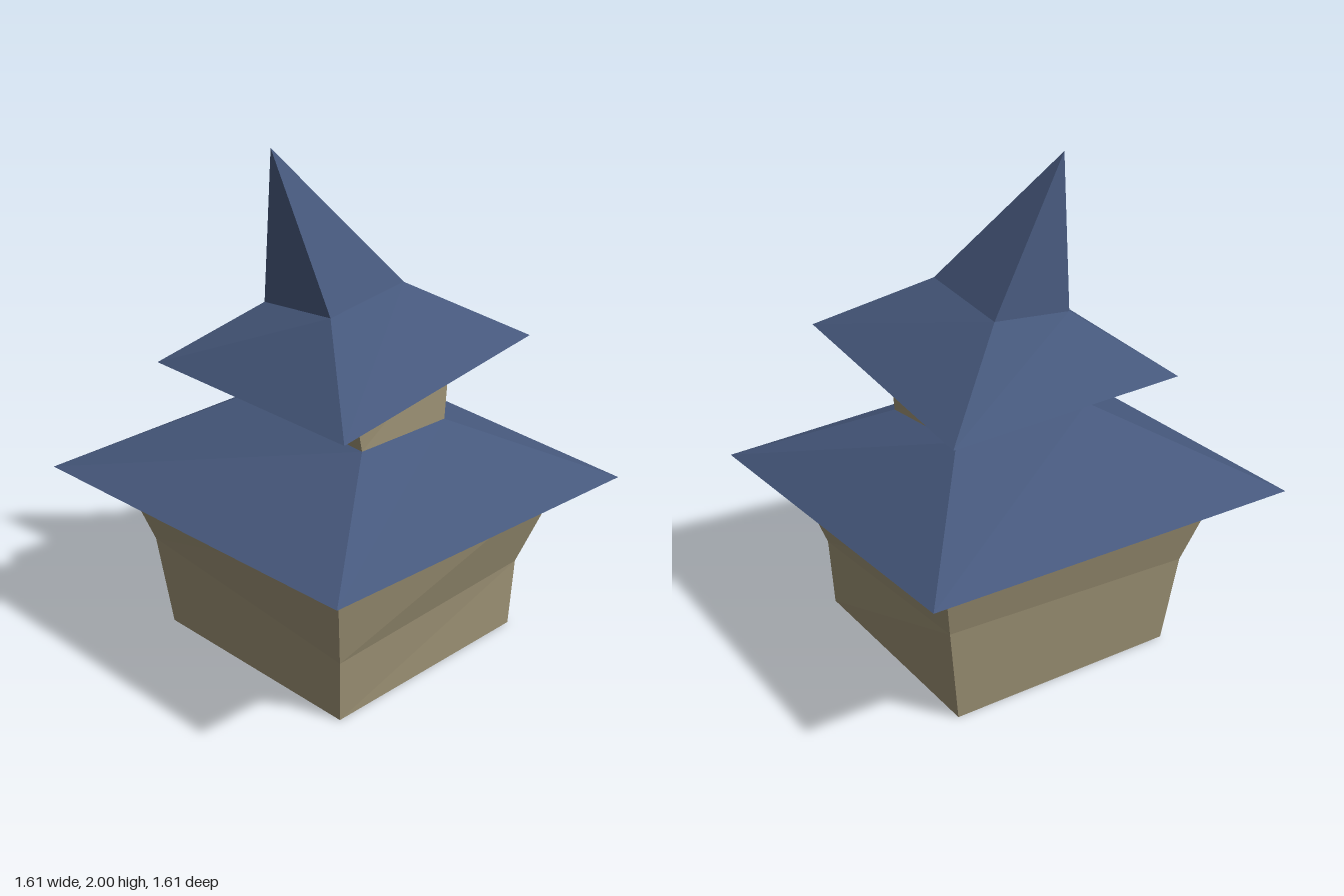
import * as THREE from 'three';

// Corners of each ring run front-right, front-left, back-left, back-right (model's own sides).
const bodyBase = [[-0.485, 0, 0.505], [0.495, 0, 0.505], [0.495, 0, -0.48], [-0.485, 0, -0.48]];
const bodyMid = [[-0.51, 0.27, 0.53], [0.51, 0.29, 0.515], [0.56, 0.42, -0.535], [-0.52, 0.38, -0.53]];
const bodyTop = [[-0.62, 0.72, 0.63], [0.635, 0.67, 0.635], [0.63, 0.725, -0.62], [-0.625, 0.705, -0.62]];
const lowerEave = [[-0.79, 0.73, 0.8], [0.8, 0.665, 0.785], [0.79, 0.735, -0.81], [-0.81, 0.713, -0.79]];
const neckBase = [[-0.22, 0.965, 0.35], [0.29, 0.925, 0.3], [0.335, 1.005, -0.235], [-0.25, 1.025, -0.25]];
const neckTop = [[-0.28, 1.165, 0.37], [0.315, 1.245, 0.3], [0.34, 1.155, -0.27], [-0.29, 1.175, -0.28]];
const upperEave = [[-0.49, 1.135, 0.53], [0.525, 1.27, 0.515], [0.51, 1.125, -0.495], [-0.5, 1.16, -0.485]];
const spireBase = [[-0.2, 1.43, 0.165], [0.165, 1.49, 0.185], [0.165, 1.44, -0.232], [-0.19, 1.4, -0.205]];
const tip = [-0.19, 2, -0.155];

// Flat-shaded geometry from a list of triangles
function facets(triangles) {
  const geometry = new THREE.BufferGeometry();
  geometry.setAttribute('position', new THREE.Float32BufferAttribute(triangles.flat(2), 3));
  geometry.computeVertexNormals();
  return geometry;
}

// Four-sided skin through a stack of rings
function skin(...rings) {
  const triangles = [];
  for (let r = 0; r < rings.length - 1; r++) {
    const low = rings[r], high = rings[r + 1];
    for (let i = 0; i < 4; i++) {
      const j = (i + 1) % 4;
      triangles.push([low[i], low[j], high[j]], [low[i], high[j], high[i]]);
    }
  }
  return facets(triangles);
}

// Pyramid from a ring to a point
function pyramid(ring, point) {
  return facets(ring.map((corner, i) => [corner, ring[(i + 1) % 4], point]));
}

// Downward-facing sheet closing a ring
function underside([a, b, c, d]) {
  return facets([[a, d, b], [b, d, c]]);
}

export function createModel() {
  const plaster = new THREE.MeshStandardMaterial({ color: 0x9c9174, side: THREE.DoubleSide });
  plaster.name = 'plaster';
  const roofBlue = new THREE.MeshStandardMaterial({ color: 0x46587c });
  roofBlue.name = 'roofBlue';
  const darkWood = new THREE.MeshStandardMaterial({ color: 0x261b13 });
  darkWood.name = 'darkWood';

  const model = new THREE.Group();
  model.name = 'crookedTower';
  const add = (name, geometry, material) => {
    const mesh = new THREE.Mesh(geometry, material);
    mesh.name = name;
    model.add(mesh);
  };

  // Ground floor, open at the bottom
  add('lowerWalls', skin(bodyBase, bodyMid, bodyTop), plaster);
  // Wide skirt roof
  add('lowerRoof', skin(lowerEave, neckBase), roofBlue);
  add('lowerEaveUnderside', underside(lowerEave), darkWood);
  // Small upper floor
  add('upperWalls', skin(neckBase, neckTop), plaster);
  // Bent pointed roof
  add('upperRoof', skin(upperEave, spireBase), roofBlue);
  add('upperEaveUnderside', underside(upperEave), darkWood);
  add('spire', pyramid(spireBase, tip), roofBlue);

  return model;
}
